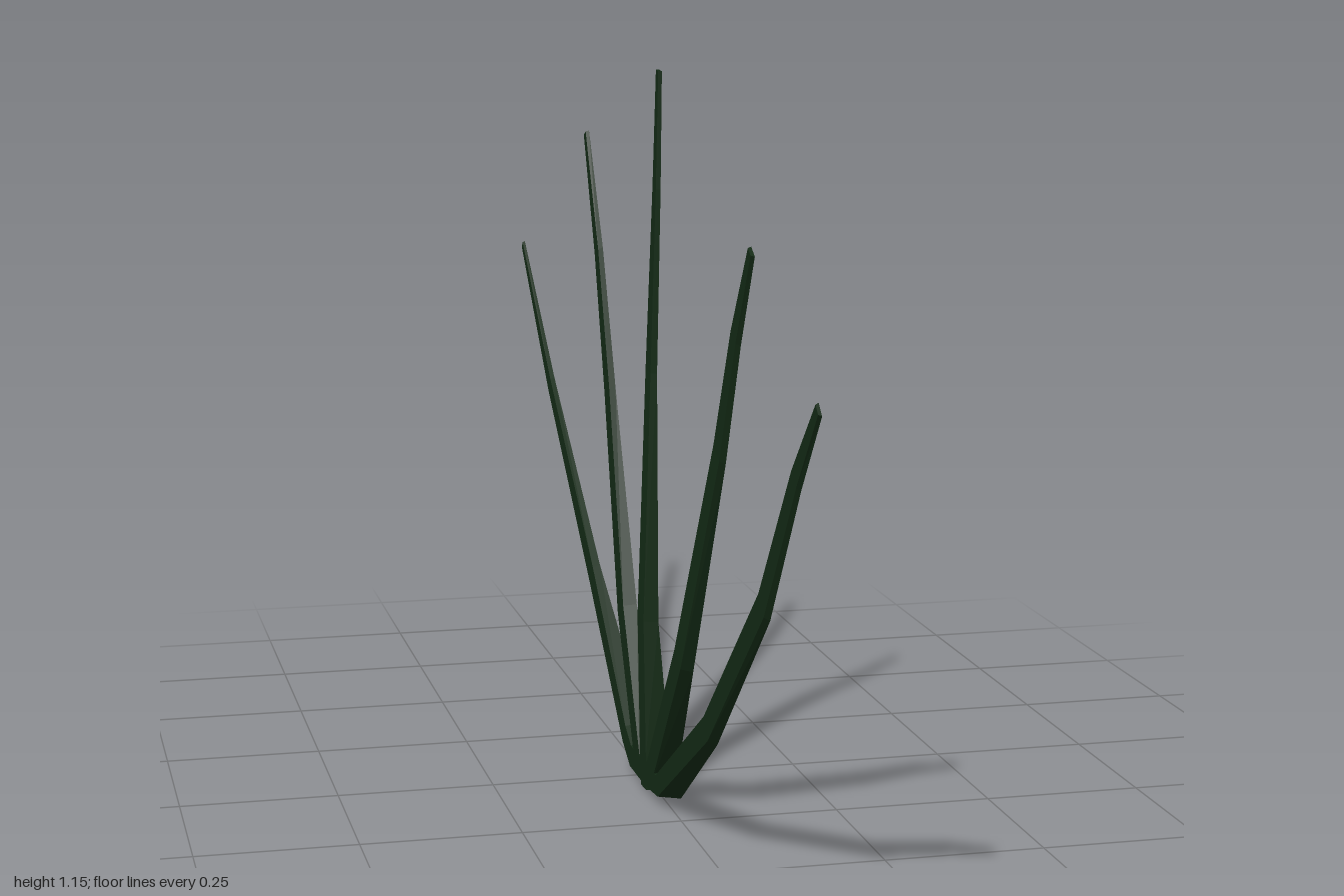
import * as THREE from 'three';

// Each blade: stations of [z, y, width] from root to tip
const BLADES = {
  frontLowBlade: [[0.08, 0.027, 0.045], [0.165, 0.035, 0.045], [0.455, 0.21, 0.052], [0.74, 0.465, 0.052], [0.89, 0.67, 0.04], [0.99, 0.78, 0.022]],
  frontHighBlade: [[0.08, 0.027, 0.04], [0.115, 0.045, 0.055], [0.295, 0.275, 0.058], [0.495, 0.63, 0.05], [0.58, 0.81, 0.04], [0.66, 0.94, 0.022]],
  middleBlade: [[0.07, 0.004, 0.05], [0.068, 0.06, 0.055], [0.06, 0.28, 0.056], [0.07, 0.68, 0.045], [0.103, 0.97, 0.03], [0.117, 1.15, 0.02]],
  backHighBlade: [[0.06, 0.027, 0.04], [0.025, 0.04, 0.055], [-0.09, 0.26, 0.06], [-0.23, 0.6, 0.052], [-0.315, 0.82, 0.04], [-0.412, 1.01, 0.022]],
  backLowBlade: [[0.07, 0.027, 0.045], [-0.02, 0.03, 0.05], [-0.065, 0.055, 0.05], [-0.35, 0.255, 0.055], [-0.725, 0.525, 0.04], [-0.99, 0.75, 0.018]],
};

// Sideways extent [x min, x max] against distance from the clump's root
const SPAN = [[0, -0.018, 0.02], [0.09, -0.019, 0.019], [0.27, -0.021, 0.002], [0.5, -0.012, -0.001], [0.8, -0.01, -0.002], [1.3, -0.007, -0.003]];

function spanAt(r) {
  let i = 1;
  while (i < SPAN.length - 1 && r > SPAN[i][0]) i++;
  const [a, b] = [SPAN[i - 1], SPAN[i]];
  const t = Math.min(1, (r - a[0]) / (b[0] - a[0]));
  return [1, 2].map(k => a[k] + (b[k] - a[k]) * t);
}

// Four-sided tapering blade, narrower on its -x side
function bladeGeometry(stations) {
  const pos = [], index = [], last = stations.length - 1;
  stations.forEach(([z, y, width], i) => {
    const p = stations[Math.max(0, i - 1)], q = stations[Math.min(last, i + 1)];
    const len = Math.hypot(q[0] - p[0], q[1] - p[1]);
    const nz = -(q[1] - p[1]) / len * width / 2, ny = (q[0] - p[0]) / len * width / 2;
    const [x0, x1] = spanAt(Math.hypot(z - 0.07, y));
    for (const [x, s] of [[x1, 1], [x0, 0.75], [x0, -0.75], [x1, -1]]) pos.push(x, Math.max(0, y + ny * s), z + nz * s);
    if (i < last) {
      for (let k = 0; k < 4; k++) {
        const a = i * 4 + k, b = i * 4 + (k + 1) % 4;
        index.push(a, b, b + 4, a, b + 4, a + 4);
      }
    }
  });
  // Root and tip caps
  const e = last * 4;
  index.push(0, 2, 1, 0, 3, 2, e, e + 1, e + 2, e, e + 2, e + 3);
  const g = new THREE.BufferGeometry();
  g.setAttribute('position', new THREE.Float32BufferAttribute(pos, 3));
  g.setIndex(index);
  const flat = g.toNonIndexed();
  flat.computeVertexNormals();
  return flat;
}

export function createModel() {
  const group = new THREE.Group();
  group.name = 'grassClump';
  const material = new THREE.MeshStandardMaterial({ color: 0x12280f, flatShading: true });
  material.color.set(0x132a15);
  for (const [name, stations] of Object.entries(BLADES)) {
    const blade = new THREE.Mesh(bladeGeometry(stations), material);
    blade.name = name;
    group.add(blade);
  }
  return group;
}
